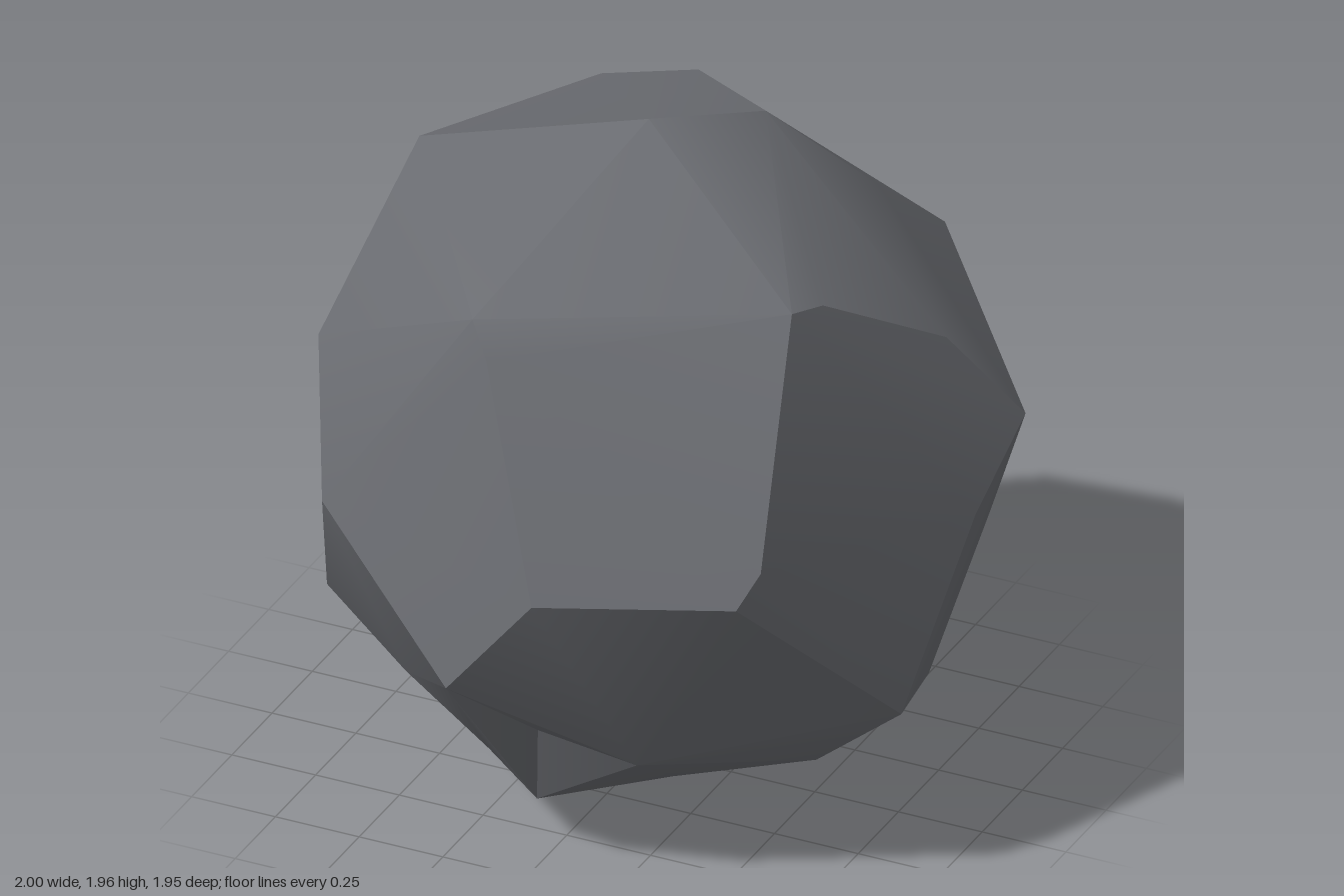
import * as THREE from 'three';
import { toCreasedNormals } from 'three/addons/utils/BufferGeometryUtils.js';
import { ConvexGeometry } from 'three/addons/geometries/ConvexGeometry.js';

const vec = ([x, y, z]) => new THREE.Vector3(x, y, z);

// Corners of the chipped boulder, grouped by region
const crown = [
  [0, 1.96, -0.01], [-0.69, 1.73, -0.02], [-0.2, 1.64, 0.67], [0.6, 1.69, 0.35], [0.64, 1.67, 0.24],
  [0.22, 1.9, -0.28], [-0.13, 1.78, -0.59], [-0.44, 1.67, -0.63], [0.47, 1.64, -0.46],
];
const frontSide = [
  [-0.13, 1.56, 0.73], [0.12, 0.98, 0.97], [0.64, 1, 0.78], [0.68, 1.09, 0.71],
  [-0.63, 0.99, 0.71], [-0.14, 0.66, 0.96], [-0.78, 1.32, 0.42],
];
const flanks = [
  [-1, 0.76, -0.1], [-0.74, 0.57, 0.45], [-0.36, 0.55, 0.75],
  [0.86, 0.44, 0.21], [0.98, 0.98, 0], [1, 1.16, -0.27], [0.84, 1.44, -0.11],
];
const backSide = [
  [0.5, 1.35, -0.81], [0.07, 1.06, -0.975], [-0.1, 0.91, -0.97], [0.73, 0.61, -0.61],
  [-0.59, 0.98, -0.79], [-0.06, 0.73, -0.92], [0, 0.32, -0.75],
];
const underside = [
  [-0.06, 0.13, 0.56], [0.12, 0, 0.09], [0.64, 0.28, 0.28], [0.74, 0.32, -0.21], [0.53, 0.165, -0.33],
  [-0.2, 0.05, -0.3], [-0.5, 0.2, 0.08], [-0.62, 0.33, -0.5],
];
// Corners lying in hollows: raised while the skin is wrapped, then pushed back in
const hollows = [[0.3, 0.39, 0.69], [0, 0.42, 0.68], [-0.27, 0.16, 0.42]];

export function createModel() {
  const centre = new THREE.Vector3(0, 0.98, 0);
  const sunk = hollows.map(vec);
  const raised = sunk.map((p) => p.clone().sub(centre).multiplyScalar(1.1).add(centre));
  const corners = [...crown, ...frontSide, ...flanks, ...backSide, ...underside].map(vec);

  const skin = new ConvexGeometry([...corners, ...raised]);
  const pos = skin.attributes.position;
  const p = new THREE.Vector3();
  for (let i = 0; i < pos.count; i++) {
    p.fromBufferAttribute(pos, i);
    const k = raised.findIndex((r) => r.distanceTo(p) < 1e-4);
    if (k >= 0) pos.setXYZ(i, sunk[k].x, sunk[k].y, sunk[k].z);
  }
  skin.deleteAttribute('normal');

  const stone = new THREE.MeshStandardMaterial({ color: 0x696b70 });
  stone.name = 'stoneGrey';
  const boulder = new THREE.Mesh(toCreasedNormals(skin, THREE.MathUtils.degToRad(28)), stone);
  boulder.name = 'boulder';

  const group = new THREE.Group();
  group.name = 'rock';
  group.add(boulder);
  return group;
}
